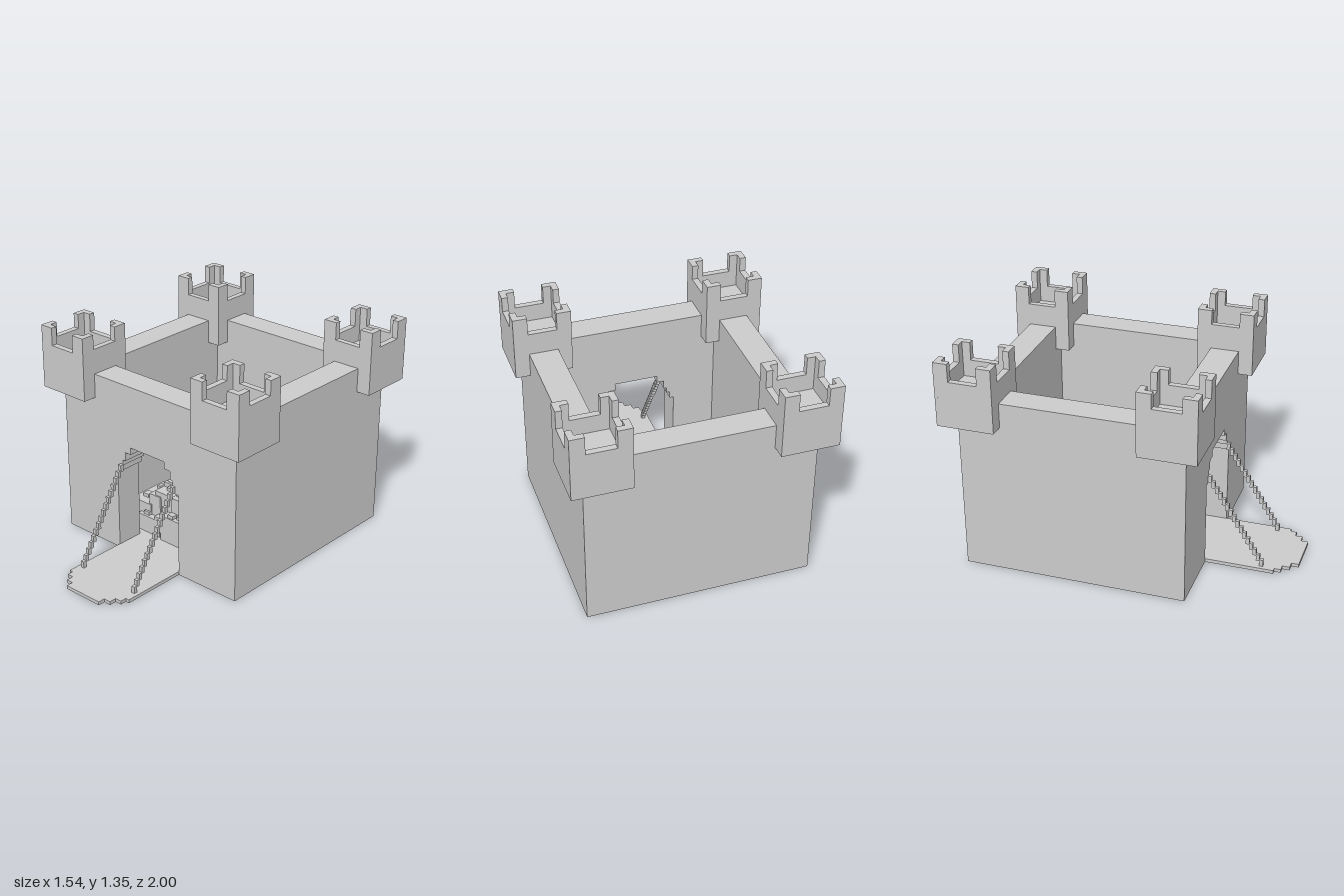
import * as THREE from 'three';

const mat = new THREE.MeshStandardMaterial({ color: 0xcccccc, flatShading: true });

// Box from min and max corners
function box(parent, name, x0, x1, y0, y1, z0, z1) {
  const m = new THREE.Mesh(new THREE.BoxGeometry(x1 - x0, y1 - y0, z1 - z0), mat);
  m.position.set((x0 + x1) / 2, (y0 + y1) / 2, (z0 + z1) / 2);
  m.name = name;
  parent.add(m);
  return m;
}

// Stepped arch half-outline, going up: [half width, height]
const ARCH = [[0.245, 0.53], [0.22, 0.575], [0.2, 0.61], [0.18, 0.665], [0.135, 0.71]];
// Stepped end of the drawbridge: [half width, z]
const TIP = [[0.245, 0.87], [0.22, 0.91], [0.178, 0.955], [0.132, 1.0]];

// Corner points of a symmetric stepped outline starting at height v0
function stepped(steps, v0) {
  const right = [];
  let v = v0;
  for (const [w, top] of steps) {
    right.push(new THREE.Vector2(w, v), new THREE.Vector2(w, top));
    v = top;
  }
  const left = right.map(p => new THREE.Vector2(-p.x, p.y)).reverse();
  return right.concat(left);
}

function extrude(parent, name, shape, depth) {
  const m = new THREE.Mesh(new THREE.ExtrudeGeometry(shape, { depth, bevelEnabled: false }), mat);
  m.name = name;
  parent.add(m);
  return m;
}

function buildTower(name, cx, cz, sideRim) {
  const g = new THREE.Group();
  g.name = name;
  const r = 0.174, t = 0.038, a = 0.087, top = 1.345, low = 1.235;
  box(g, 'towerBase', -r, r, 0.95, 1.13, -r, r);
  for (const s of [-1, 1]) {
    // Parapets
    const o = s * (r - t / 2);
    box(g, 'parapetAcross', -r, r, 1.13, low, o - t / 2, o + t / 2);
    box(g, 'parapetSide', o - t / 2, o + t / 2, 1.13, sideRim, -r + t, r - t);
    // L-shaped corner merlons
    for (const q of [-1, 1]) {
      const e = q * (r - t / 2), ax = s * (r - a / 2), az = q * (r - (a + t) / 2);
      box(g, 'merlonAcross', ax - a / 2, ax + a / 2, low, top, e - t / 2, e + t / 2);
      box(g, 'merlonSide', o - t / 2, o + t / 2, low, top, az - (a - t) / 2, az + (a - t) / 2);
    }
  }
  g.position.set(cx, 0, cz);
  return g;
}

// Heap of blocks inside the gate, with small blocks scattered over it
function buildHeap() {
  const g = new THREE.Group();
  g.name = 'blockHeap';
  const blocks = [ // x0, x1, height, z0, z1
    [-0.38, -0.22, 0.2, -0.08, 0.2], [-0.4, -0.3, 0.11, 0.03, 0.2],
    [-0.31, -0.24, 0.13, -0.15, -0.1], [-0.24, -0.15, 0.27, -0.1, 0.19],
    [-0.15, 0.02, 0.33, -0.17, 0.02], [-0.2, -0.05, 0.3, -0.02, 0.18],
    [-0.05, 0.1, 0.31, -0.05, 0.2], [0.02, 0.18, 0.28, -0.14, 0.05],
    [0.16, 0.37, 0.15, -0.15, -0.06], [0.1, 0.24, 0.24, -0.04, 0.18],
    [0.22, 0.35, 0.18, -0.07, 0.13], [0.16, 0.3, 0.12, 0.1, 0.2],
    [-0.3, -0.12, 0.13, 0.15, 0.23], [-0.1, 0.1, 0.19, 0.18, 0.245],
    [0.08, 0.17, 0.33, 0, 0.1], [-0.2, -0.13, 0.33, 0.03, 0.1]
  ];
  let seed = 7;
  const rnd = () => (seed = (seed * 16807) % 2147483647) / 2147483647;
  for (const [x0, x1, h, z0, z1] of blocks) {
    box(g, 'heapBlock', x0, x1, 0.02, h, z0, z1);
    for (let i = 0; i < 3; i++) {
      const w = 0.022 * (1 + Math.floor(rnd() * 2)), d = 0.022 * (1 + Math.floor(rnd() * 2));
      const x = x0 + rnd() * (x1 - x0 - w), z = z0 + rnd() * (z1 - z0 - d);
      box(g, 'heapChip', x, x + w, h - 0.01, Math.min(h + 0.022, 0.333), z, z + d);
    }
  }
  return g;
}

export function createModel() {
  const root = new THREE.Group();
  root.name = 'castle';

  // Courtyard floor with a tiny drain hole
  const floor = new THREE.Shape([[-0.68, -0.45], [0.68, -0.45], [0.68, 0.91], [-0.68, 0.91]]
    .map(p => new THREE.Vector2(...p)));
  floor.holes.push(new THREE.Path([[-0.4, 0.565], [-0.4, 0.587], [-0.378, 0.587], [-0.378, 0.565]]
    .map(p => new THREE.Vector2(...p))));
  extrude(root, 'floor', floor, 0.02).rotation.x = -Math.PI / 2;

  // Back and side walls
  box(root, 'backWall', -0.68, 0.68, 0, 1.1, -0.91, -0.74);
  for (const s of [-1, 1]) {
    const c = s * 0.5925;
    box(root, s > 0 ? 'leftWall' : 'rightWall', c - 0.0875, c + 0.0875, 0, 1.1, -0.74, 0.275);
  }

  // Front wall with the stepped gateway cut out
  const arch = stepped(ARCH, 0).reverse();
  const front = new THREE.Shape([
    new THREE.Vector2(-0.68, 0), ...arch,
    new THREE.Vector2(0.68, 0), new THREE.Vector2(0.68, 1.1), new THREE.Vector2(-0.68, 1.1)
  ]);
  extrude(root, 'frontWall', front, 0.175).position.z = 0.275;

  // Lowered drawbridge
  const bridge = extrude(root, 'drawbridge', new THREE.Shape(stepped(TIP, 0.45)), 0.022);
  bridge.rotation.x = Math.PI / 2;
  bridge.position.y = 0.022;

  // Stepped chains on both sides of the bridge
  const links = 16, dz = 0.35 / links, dy = 0.55 / links;
  for (const s of [-1, 1]) {
    const chain = new THREE.Group();
    chain.name = s > 0 ? 'leftChain' : 'rightChain';
    for (let i = 0; i < links; i++) {
      const z = 0.8 - i * dz, y = 0.022 + i * dy;
      box(chain, 'chainLink', s * 0.21 - 0.011, s * 0.21 + 0.011, y, y + dy + 0.008, z - dz, z);
    }
    root.add(chain);
  }

  // Corner towers
  for (const s of [-1, 1]) {
    const side = s > 0 ? 'Left' : 'Right';
    root.add(buildTower('front' + side + 'Tower', s * 0.594, 0.363, 1.255));
    root.add(buildTower('back' + side + 'Tower', s * 0.594, -0.826, 1.235));
  }

  root.add(buildHeap());
  return root;
}
